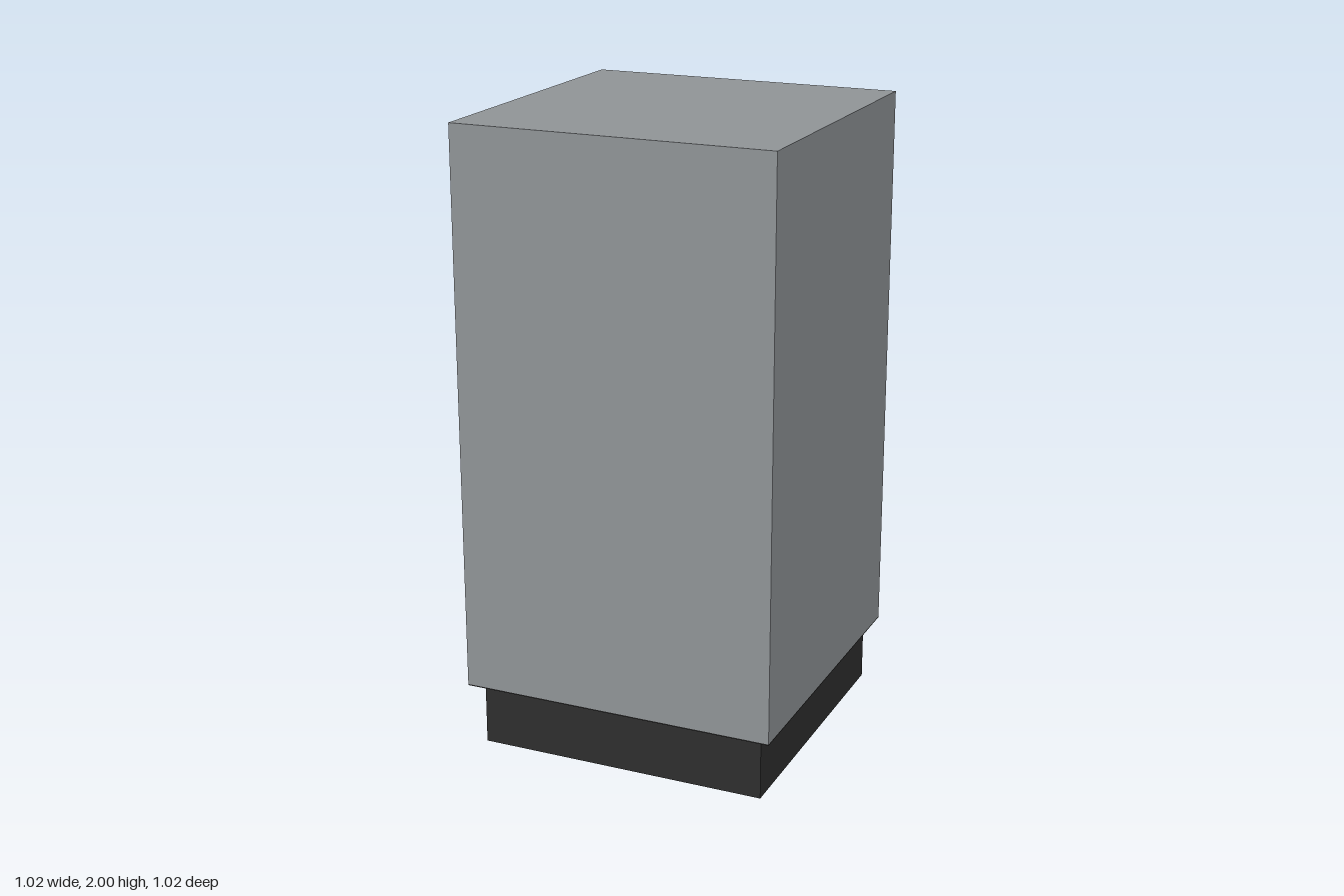
import * as THREE from 'three';

const mat = (name, color) => {
  const m = new THREE.MeshStandardMaterial({ color });
  m.name = name;
  return m;
};

// Rectangle outline with optional rounded corners
function roundedRect(Target, w, d, r) {
  const p = new Target(), x = w / 2, y = d / 2;
  p.moveTo(-x + r, -y);
  p.lineTo(x - r, -y);
  p.quadraticCurveTo(x, -y, x, -y + r);
  p.lineTo(x, y - r);
  p.quadraticCurveTo(x, y, x - r, y);
  p.lineTo(-x + r, y);
  p.quadraticCurveTo(-x, y, -x, y - r);
  p.lineTo(-x, -y + r);
  p.quadraticCurveTo(-x, -y, -x + r, -y);
  return p;
}

// Horizontal plate, lying from y = 0 up to its thickness
function plate(w, d, h, r, hole) {
  const s = r > 0 ? roundedRect(THREE.Shape, w, d, r)
    : new THREE.Shape([[-1, -1], [1, -1], [1, 1], [-1, 1]].map(([a, b]) => new THREE.Vector2(a * w / 2, b * d / 2)));
  if (hole) s.holes.push(hole);
  return new THREE.ExtrudeGeometry(s, { depth: h, bevelEnabled: false, curveSegments: 6 }).rotateX(-Math.PI / 2);
}

export function createModel() {
  const grey = mat('cabinet grey', 0x8f9396);
  const dark = mat('plinth black', 0x2e2e2e);
  const shelfGrey = mat('shelf charcoal', 0x505050);
  const teal = mat('light teal', 0x12c8ad);

  const model = new THREE.Group();
  model.name = 'cabinet';
  const add = (name, geometry, material, x, y, z) => {
    const m = new THREE.Mesh(geometry, material);
    m.name = name;
    m.position.set(x, y, z);
    model.add(m);
    return m;
  };
  const box = (name, material, w, h, d, x, y, z) =>
    add(name, new THREE.BoxGeometry(w, h, d), material, x, y, z);

  const W = 1.02, T = 0.03, TOP = 2, BOTTOM = 0.21, H = TOP - BOTTOM;

  // Carcass, open at the back
  box('topPanel', grey, W, T, W, 0, TOP - T / 2, 0);
  box('frontPanel', grey, W - 2 * T, H - 2 * T, T, 0, BOTTOM + H / 2, W / 2 - T / 2);
  for (const s of [-1, 1]) {
    box('sidePanel', grey, T, H - 2 * T, W, s * (W - T) / 2, BOTTOM + H / 2, 0);
  }

  // Floor, recessed from below inside a rounded opening
  const opening = () => roundedRect(THREE.Path, 0.91, 0.91, 0.05);
  add('floorRim', plate(W, W, 0.02, 0, opening()), grey, 0, BOTTOM, 0);
  box('floorPanel', grey, W, 0.01, W, 0, BOTTOM + 0.025, 0);
  add('underTrim', plate(W, W, 0.004, 0, opening()), dark, 0, BOTTOM - 0.004, 0);

  // Hollow plinth
  add('plinth', plate(0.94, 0.94, BOTTOM - 0.004, 0, roundedRect(THREE.Path, 0.92, 0.92, 0.001)), dark, 0, 0, 0);

  // Pair of light panels under a surface
  const lights = (y, inner, outer, z0, z1) => {
    for (const s of [-1, 1]) {
      add('lightPanel', plate(outer - inner, z1 - z0, 0.006, 0.03), teal,
        s * (inner + outer) / 2, y - 0.006, (z0 + z1) / 2);
    }
  };
  lights(TOP - T, 0.05, 0.43, -0.46, 0.43);

  // Shelves with lights beneath
  for (const y of [0.73, 1.41]) {
    box('shelf', shelfGrey, 0.92, 0.04, 0.92, 0, y - 0.02, 0);
    lights(y - 0.04, 0.05, 0.41, -0.41, 0.41);
  }

  // Upright light strips set diagonally in the front corners
  for (const s of [-1, 1]) {
    const strip = box('cornerLight', teal, 0.077, H - 2 * T, 0.006, s * 0.453, BOTTOM + H / 2, 0.453);
    strip.rotation.y = s * Math.PI / 4;
  }

  return model;
}
